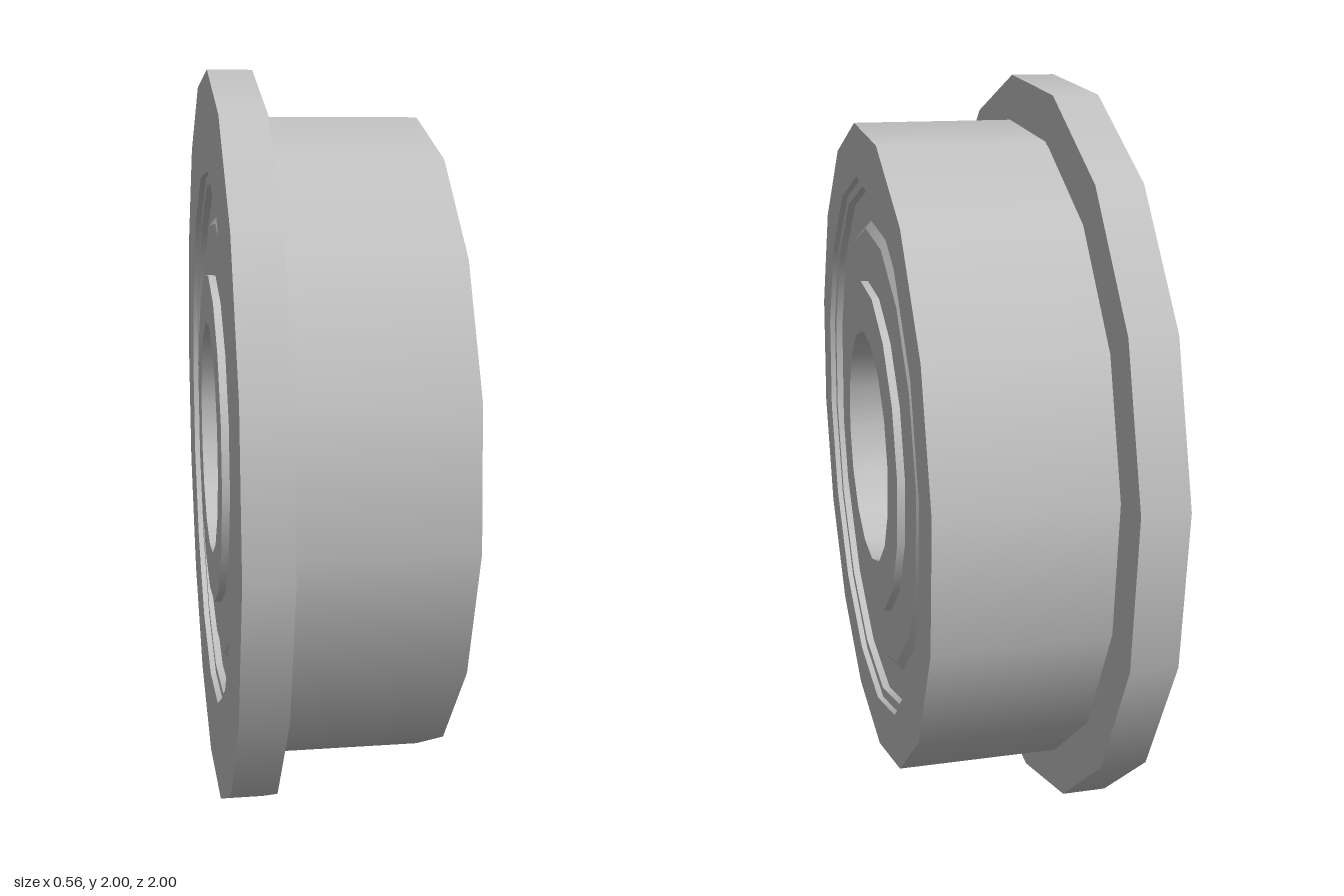
import * as THREE from 'three';
import { mergeGeometries } from 'three/addons/utils/BufferGeometryUtils.js';

const SIDES = 16;
const PHASE = THREE.MathUtils.degToRad(6.9);

// Closed ring around the x axis from a counterclockwise [radius, x] profile;
// each profile edge is its own band, so edges stay sharp and bands smooth.
function ring(profile) {
  const bands = profile.map((p, i) => {
    const q = profile[(i + 1) % profile.length];
    return new THREE.LatheGeometry(
      [new THREE.Vector2(...p), new THREE.Vector2(...q)], SIDES, PHASE, Math.PI * 2);
  });
  return mergeGeometries(bands).rotateZ(-Math.PI / 2);
}

export function createModel() {
  const steel = new THREE.MeshStandardMaterial({ color: 0xc0c0c0 });
  steel.name = 'steel';
  const model = new THREE.Group();
  model.name = 'flangedBearing';

  function add(name, profile) {
    const mesh = new THREE.Mesh(ring(profile), steel);
    mesh.name = name;
    mesh.position.y = 1;
    model.add(mesh);
  }

  const W = 0.28;      // half width
  const STEP = 0.264;  // first step inside the outer ring
  const FLOOR = 0.244; // outer border of the shield
  const LID = 0.26;    // raised middle of the shield

  // Outer ring with flange, relief groove and stepped shield seats
  add('outerRing', [
    [1.007, -W], [1.007, -0.162], [0.875, -0.162], [0.875, -0.154], [0.887, -0.154],
    [0.887, W], [0.745, W], [0.745, STEP], [0.718, STEP],
    [0.718, -STEP], [0.745, -STEP], [0.745, -W],
  ]);

  // Shields on both faces: a flat border, a sloped rise and a flat middle
  add('shields', [
    [0.718, -FLOOR], [0.718, FLOOR], [0.626, FLOOR], [0.605, LID], [0.46, LID],
    [0.46, -LID], [0.605, -LID], [0.626, -FLOOR],
  ]);

  // Inner ring with the bore
  add('innerRing', [[0.463, -W], [0.463, W], [0.326, W], [0.326, -W]]);

  return model;
}
